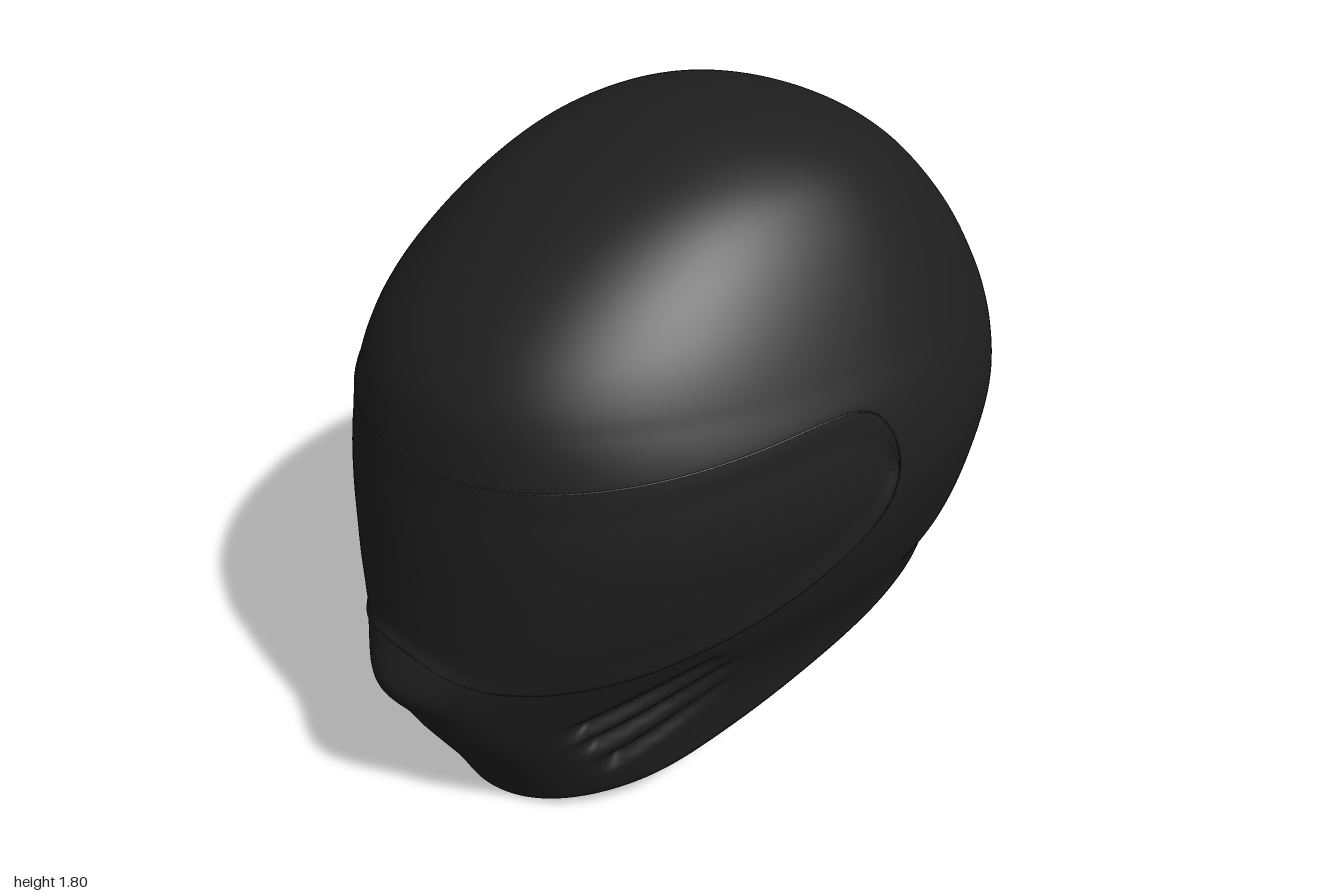
import * as THREE from 'three';

const TOP = 1.8, ZC = -0.1;
const { smoothstep, clamp, lerp } = THREE.MathUtils;

// Smooth (cubic Hermite) lookup of column c in rows sorted by their first entry
function sample(rows, k, c) {
  const n = rows.length;
  if (k <= rows[0][0]) return rows[0][c];
  if (k >= rows[n - 1][0]) return rows[n - 1][c];
  let i = 0;
  while (rows[i + 1][0] < k) i++;
  const step = (j) => rows[j + 1][0] - rows[j][0];
  const rise = (j) => (rows[j + 1][c] - rows[j][c]) / step(j);
  const slope = (j) => {
    if (j === 0) return rise(0);
    if (j === n - 1) return rise(n - 2);
    return (step(j) * rise(j - 1) + step(j - 1) * rise(j)) / (step(j) + step(j - 1));
  };
  const h = step(i), t = (k - rows[i][0]) / h, u = 1 - t;
  return rows[i][c] * u * u * (1 + 2 * t) + rows[i + 1][c] * t * t * (3 - 2 * t)
    + slope(i) * h * t * u * u - slope(i + 1) * h * t * t * u;
}

// Helmet outline: height, half width, front z, back z (keyed by root of depth below the crown)
const outline = [
  [1.8, 0, -0.1, -0.1], [1.79, 0.14, 0.04, -0.23], [1.75, 0.288, 0.205, -0.39],
  [1.7, 0.383, 0.345, -0.51], [1.6, 0.485, 0.54, -0.655], [1.5, 0.553, 0.68, -0.75],
  [1.4, 0.608, 0.783, -0.825], [1.3, 0.656, 0.85, -0.885], [1.2, 0.7, 0.88, -0.935],
  [1.1, 0.728, 0.898, -0.972], [1.0, 0.737, 0.913, -0.995], [0.8, 0.708, 0.932, -0.977],
  [0.6, 0.64, 0.943, -0.95], [0.47, 0.57, 0.935, -0.932], [0.3, 0.512, 0.895, -0.91],
  [0.2, 0.497, 0.835, -0.9], [0.1, 0.485, 0.772, -0.89], [0, 0.455, 0.72, -0.88],
].map(([y, ...r]) => [Math.sqrt(TOP - y), ...r]);

// Bottom opening: z, height
const rim = [[-0.935, 0.468], [-0.9, 0.443], [-0.72, 0.388], [-0.4, 0.347], [-0.2, 0.31],
  [0, 0.257], [0.25, 0.176], [0.46, 0.09], [0.62, 0.034], [0.72, 0]];

// Visor edges: forwardness (0 at the sides, 1 at the nose), height (keyed by root)
const root = ([q, y]) => [Math.sqrt(q), y];
const visorLow = [[0, 1.03], [0.02, 0.94], [0.07, 0.87], [0.17, 0.79], [0.3, 0.715], [0.5, 0.63],
  [0.7, 0.567], [0.85, 0.548], [0.92, 0.553], [0.97, 0.578], [1, 0.605]].map(root);
const visorHigh = [[0, 1.03], [0.02, 1.13], [0.06, 1.19], [0.12, 1.218], [0.22, 1.225],
  [0.4, 1.212], [0.7, 1.18], [1, 1.145]].map(root);
const visorEdge = (rows, a) => sample(rows, Math.sqrt(Math.max(Math.sin(a), 0)), 1);

// Cheek vents: front z, y and rear z, y
const vents = [[0.67, 0.365, 0.38, 0.54], [0.63, 0.29, 0.31, 0.475], [0.56, 0.205, 0.29, 0.38]];
function ventDepth(z, y) {
  let depth = 0;
  for (const [z0, y0, z1, y1] of vents) {
    const dz = z1 - z0, dy = y1 - y0;
    const t = clamp(((z - z0) * dz + (y - y0) * dy) / (dz * dz + dy * dy), 0, 1);
    const d = Math.hypot(z - z0 - dz * t, y - y0 - dy * t);
    depth += (0.045 - 0.03 * t) * Math.exp(-((d / 0.026) ** 2));
  }
  return depth;
}

// Point on the helmet surface at angle a and height y, pushed outward by "out"
function surface(a, y, out = 0) {
  const k = Math.sqrt(Math.max(TOP - y, 0)), s = Math.sin(a), c = Math.cos(a);
  // corners of the dome and face are fuller than an ellipse
  const dome = 0.03 * smoothstep(y, 1.0, 1.45);
  const full = 1 + (s > 0 ? Math.max(dome, 0.022) : dome) * Math.sin(2 * a) ** 2;
  const x = sample(outline, k, 1) * c * full;
  let z = ZC + Math.abs(sample(outline, k, s > 0 ? 2 : 3) - ZC) * s * full;
  let push = out;
  if (s > 0) {
    const inside = Math.min(y - visorEdge(visorLow, a), visorEdge(visorHigh, a) - y);
    // pointed chin, ending at the visor
    z += 0.068 * Math.exp(-(((y - 0.485) / 0.1) ** 2)) * Math.exp(-((x / 0.18) ** 2))
      * (1 - smoothstep(inside, -0.005, 0.02));
    // sunken visor sides and cheek vents
    push -= 0.018 * (1 - 0.8 * s) * smoothstep(inside, -0.005, 0.09);
    push -= ventDepth(z, y);
  }
  const len = Math.hypot(x, z - ZC) || 1;
  return new THREE.Vector3(x + (x / len) * push, y, z + ((z - ZC) / len) * push);
}

// Height of the bottom opening at angle a
function rimHeight(a) {
  let y = 0.3;
  for (let i = 0; i < 25; i++) y = sample(rim, surface(a, y).z, 1);
  return y;
}

// Grid of points; rows run upward, columns with the angle
function gridGeometry(rows, cols, closed, point) {
  const pos = [], index = [], n = closed ? cols : cols + 1;
  for (let i = 0; i <= rows; i++) for (let j = 0; j < n; j++) pos.push(...point(i, j).toArray());
  for (let i = 0; i < rows; i++) for (let j = 0; j < cols; j++) {
    const a = i * n + j, b = i * n + ((j + 1) % n);
    index.push(a, a + n, b, a + n, b + n, b);
  }
  const g = new THREE.BufferGeometry();
  g.setAttribute('position', new THREE.Float32BufferAttribute(pos, 3));
  g.setIndex(index);
  g.computeVertexNormals();
  return g;
}

export function createModel() {
  const group = new THREE.Group();
  const black = new THREE.MeshStandardMaterial({ color: 0x1e1e1e, side: THREE.DoubleSide });
  black.name = 'matteBlack';
  const add = (name, geometry) => {
    const mesh = new THREE.Mesh(geometry, black);
    mesh.name = name;
    group.add(mesh);
  };

  // Shell, open below, with a small inward lip as its first row
  const ROWS = 160, COLS = 280;
  const angles = Array.from({ length: COLS }, (_, j) => (j / COLS) * Math.PI * 2);
  const rims = angles.map(rimHeight);
  add('shell', gridGeometry(ROWS, COLS, true, (i, j) => {
    if (i === 0) return surface(angles[j], rims[j] + 0.006, -0.025);
    const v = (i - 1) / (ROWS - 1);
    return surface(angles[j], rims[j] + (TOP - rims[j]) * Math.sin((v * Math.PI) / 2));
  }));

  // Visor plate, with columns gathered at its rounded ends
  const VC = 140, VR = 30;
  const visorAngle = (j) => {
    const t = (j / VC) * 2 - 1;
    return (Math.PI / 2) * (1 + Math.sign(t) * (1 - (1 - Math.abs(t)) ** 2));
  };
  add('visor', gridGeometry(VR, VC, false, (i, j) => {
    const a = visorAngle(j);
    return surface(a, lerp(visorEdge(visorLow, a), visorEdge(visorHigh, a), i / VR), 0.003);
  }));

  // Thin seam around the visor
  const edge = [];
  for (let j = 0; j <= VC; j++) edge.push(surface(visorAngle(j), visorEdge(visorLow, visorAngle(j)), 0.002));
  for (let j = VC - 1; j > 0; j--) edge.push(surface(visorAngle(j), visorEdge(visorHigh, visorAngle(j)), 0.002));
  add('visorSeam', new THREE.TubeGeometry(new THREE.CatmullRomCurve3(edge, true), 400, 0.0025, 6, true));

  return group;
}
